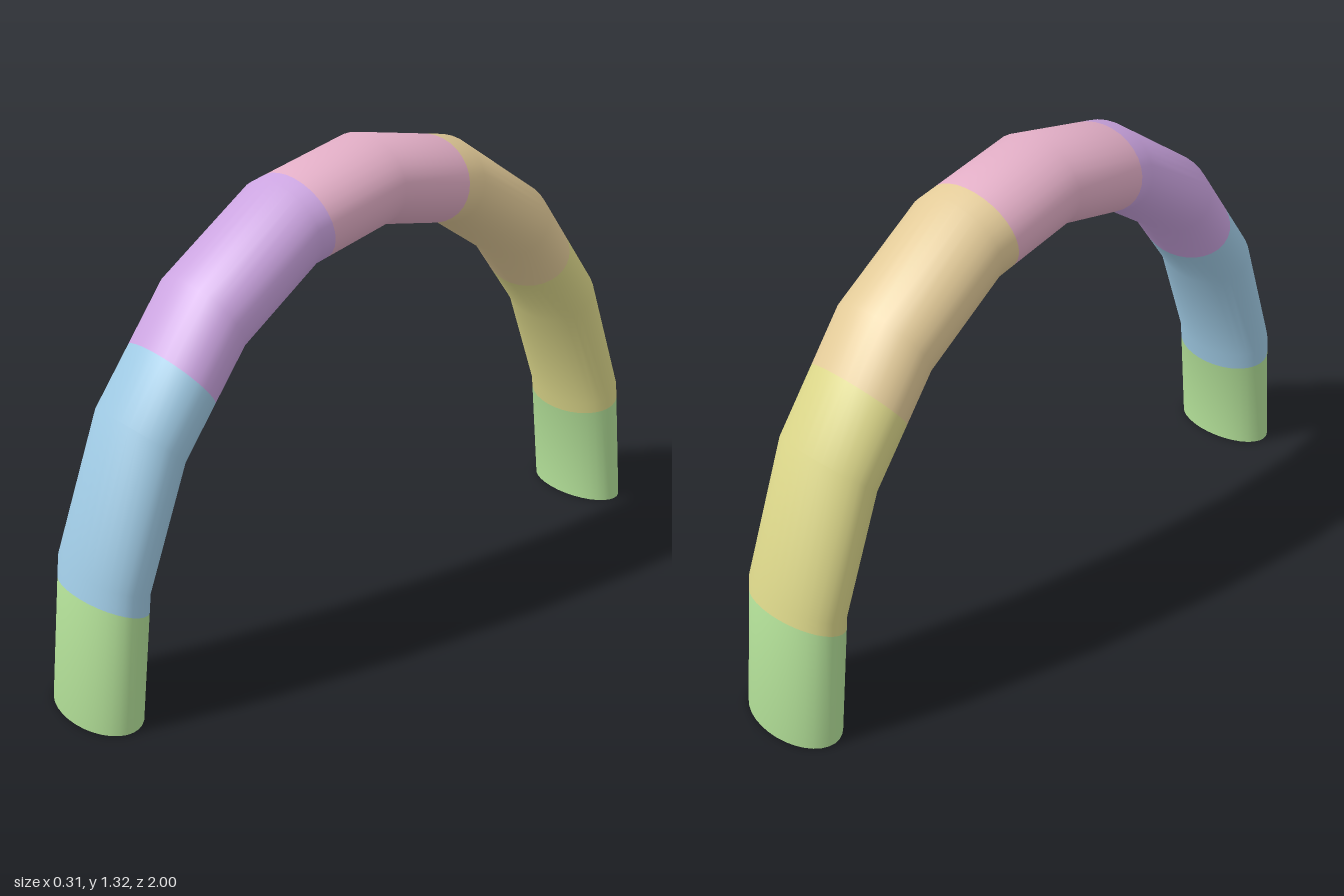
import * as THREE from 'three';

const SEGMENTS = 10;   // straight lengths along the arch
const SIDES = 32;      // sides around the tube
const HEIGHT = 1.32, RADIUS = 0.91, TUBE = 0.09, HALF_WIDTH = 0.155;

// Point on the arch: k is the ring number from front foot to back foot
function ringPoint(k, phi) {
  const t = (k / SEGMENTS) * Math.PI;
  const r = RADIUS + TUBE * Math.cos(phi);
  return new THREE.Vector3(HALF_WIDTH * Math.sin(phi), HEIGHT * r * Math.sin(t), r * Math.cos(t));
}

// Outward normal of the stretched tube
function ringNormal(k, phi) {
  const t = (k / SEGMENTS) * Math.PI;
  const c = Math.cos(phi);
  return new THREE.Vector3(Math.sin(phi) * TUBE / HALF_WIDTH, c * Math.sin(t) / HEIGHT, c * Math.cos(t)).normalize();
}

// Stations between whole rings lie on the straight lengths
function between(fn, s, phi) {
  const k = Math.min(Math.floor(s), SEGMENTS - 1);
  return fn(k, phi).lerp(fn(k + 1, phi), s - k);
}

// One open length of tube from station s0 to s1
function bandGeometry(s0, s1) {
  const stations = [s0];
  for (let k = Math.floor(s0) + 1; k < s1; k++) stations.push(k);
  stations.push(s1);
  const pos = [], nor = [], idx = [];
  stations.forEach((s, i) => {
    for (let j = 0; j <= SIDES; j++) {
      const phi = (j / SIDES) * Math.PI * 2;
      pos.push(...between(ringPoint, s, phi).toArray());
      nor.push(...between(ringNormal, s, phi).normalize().toArray());
      if (i < stations.length - 1 && j < SIDES) {
        const a = i * (SIDES + 1) + j, b = a + SIDES + 1;
        idx.push(a, a + 1, b, a + 1, b + 1, b);
      }
    }
  });
  const g = new THREE.BufferGeometry();
  g.setAttribute('position', new THREE.Float32BufferAttribute(pos, 3));
  g.setAttribute('normal', new THREE.Float32BufferAttribute(nor, 3));
  g.setIndex(idx);
  return g;
}

function material(name, color) {
  const m = new THREE.MeshStandardMaterial({ color, side: THREE.DoubleSide });
  m.name = name;
  return m;
}

export function createModel() {
  const group = new THREE.Group();
  group.name = 'arch';
  const green = material('pastel green', 0xb3e098);

  // Coloured bands from the front foot over the top to the back foot
  const bands = [
    ['frontFoot', green, 0.85],
    ['frontLowerBand', material('pastel blue', 0xa0cbe5), 2.5],
    ['frontUpperBand', material('pastel purple', 0xcba4e0), 4.15],
    ['topBand', material('pastel pink', 0xe2aec6), 5.8],
    ['backUpperBand', material('pastel orange', 0xe2ca98), 7.45],
    ['backLowerBand', material('pastel yellow', 0xdcd78a), 9.1],
    ['backFoot', green, SEGMENTS],
  ];
  let start = 0;
  for (const [name, mat, end] of bands) {
    const mesh = new THREE.Mesh(bandGeometry(start, end), mat);
    mesh.name = name;
    group.add(mesh);
    start = end;
  }
  return group;
}
